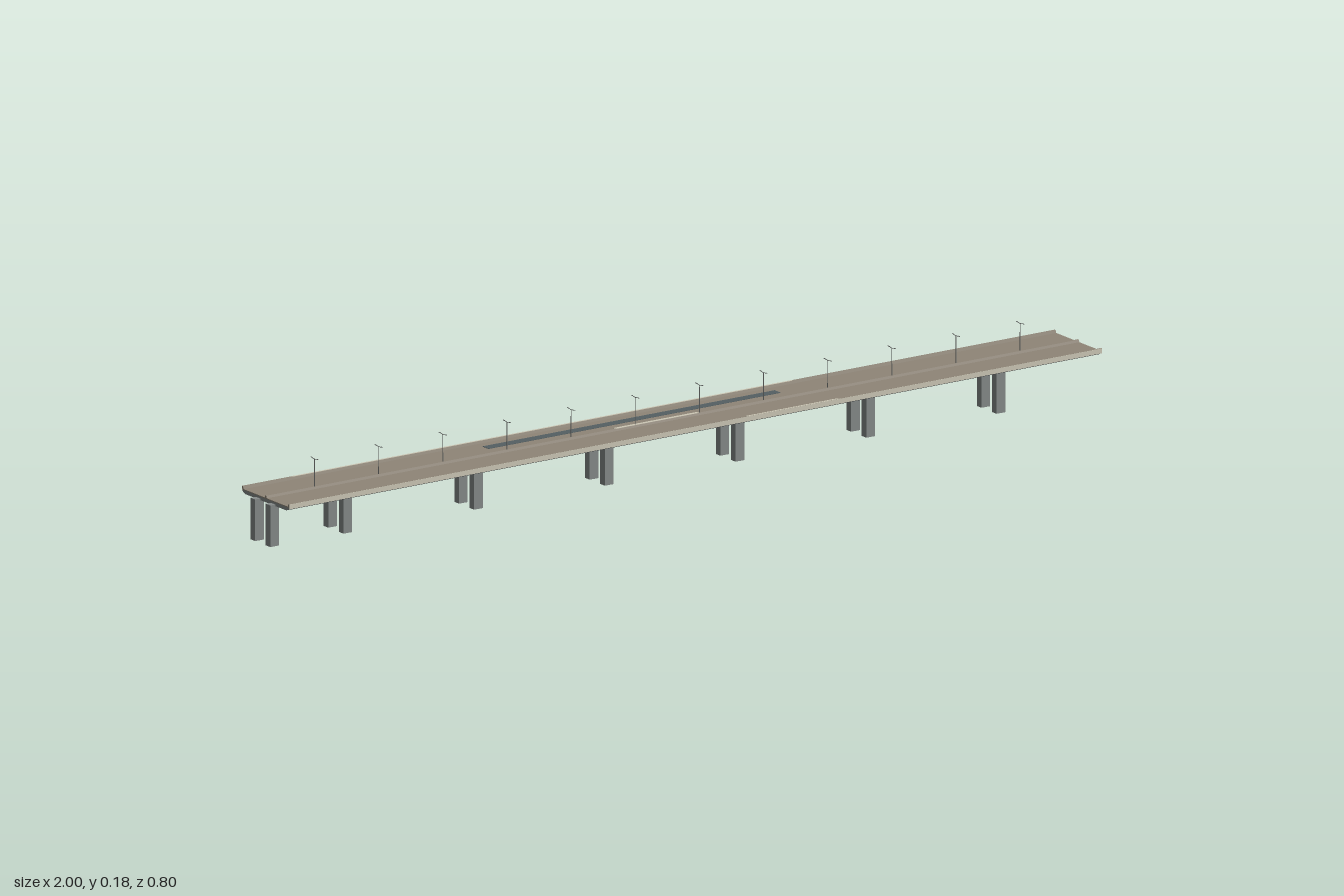
import * as THREE from 'three';

const mat = (name, color) => {
  const m = new THREE.MeshStandardMaterial({ color });
  m.name = name;
  return m;
};

const HALF = 1.023;      // half the deck length
const EDGE = 0.088;      // half the deck width
const SLOPE = 0.0074;    // gentle climb toward +x
const ROAD = 0.1035;     // road height at the middle

export function createModel() {
  const asphalt = mat('brown asphalt', 0x8f8678);
  const cream = mat('cream concrete', 0xcdc8b6);
  const concrete = mat('grey concrete', 0x858a89);
  const slate = mat('slate strip', 0x556063);
  const steel = mat('lamp steel', 0x6a6c6a);

  const bridge = new THREE.Group();
  bridge.name = 'bridge';

  const add = (name, geo, material, parent = bridge) => {
    const mesh = new THREE.Mesh(geo, material);
    mesh.name = name;
    parent.add(mesh);
    return mesh;
  };

  // Extrudes a (z, height above road) section along x and tilts it to the slope
  const prism = (name, section, material, x0 = -HALF, x1 = HALF) => {
    const shape = new THREE.Shape(section.map(([z, y]) => new THREE.Vector2(-z, y)));
    const geo = new THREE.ExtrudeGeometry(shape, { depth: x1 - x0, bevelEnabled: false });
    geo.rotateY(Math.PI / 2).translate(x0, ROAD, 0);
    const p = geo.attributes.position;
    for (let i = 0; i < p.count; i++) p.setY(i, p.getY(i) + p.getX(i) * SLOPE);
    geo.computeVertexNormals();
    return add(name, geo, material);
  };
  const rect = (z0, z1, y0, y1) => [[z0, y0], [z1, y0], [z1, y1], [z0, y1]];

  // Deck: road surface over a slab with sloped lower edges
  prism('roadSurface', rect(-0.086, 0.086, -0.002, 0), asphalt);
  prism('deckSlab', [[-0.076, -0.0095], [0.076, -0.0095], [0.0865, -0.0045],
    [0.0865, -0.002], [-0.0865, -0.002], [-0.0865, -0.0045]], concrete);

  // Parapets with pale outer faces
  for (const s of [-1, 1]) {
    prism('parapet', [[s * 0.0872, 0], [s * 0.082, 0], [s * 0.084, 0.006], [s * 0.0872, 0.006]], asphalt);
    prism('fascia', rect(s * 0.0872, s * EDGE, -0.0045, 0.0058), cream);
  }

  // Central barrier
  prism('medianBarrier', [[-0.004, 0], [0.004, 0], [0.002, 0.005], [-0.002, 0.005]], asphalt);

  // Thin painted strips
  prism('slateStrip', rect(-0.06, -0.038, 0, 0.0008), slate, -0.436, 0.299);
  prism('backPaleStrip', rect(-0.0872, -0.0825, 0.006, 0.0064), cream, -0.9, 0.36);
  prism('frontPaleStrip', rect(0.083, 0.0872, 0.006, 0.0064), cream, 0.13, 0.36);
  prism('medianPaleStrip', rect(-0.004, 0.004, 0.005, 0.0054), cream, -0.145, 0.065);

  // Pairs of columns under the deck
  for (const wx of [-0.975, -0.8, -0.487, -0.174, 0.139, 0.452, 0.764]) {
    const x = wx / Math.cos(Math.PI / 10);
    const h = ROAD - 0.006 + x * SLOPE;
    const pier = new THREE.Group();
    pier.name = 'pier';
    bridge.add(pier);
    for (const s of [-1, 1]) {
      add('column', new THREE.BoxGeometry(0.022, h, 0.017), concrete, pier)
        .position.set(x, h / 2, s * 0.028);
    }
  }

  // Double-armed lamp posts along the median
  for (let i = 0; i < 12; i++) {
    const x = -0.9 + i * 0.1615;
    const lamp = new THREE.Group();
    lamp.name = 'lampPost';
    lamp.position.set(x, ROAD + x * SLOPE, 0);
    bridge.add(lamp);
    add('pole', new THREE.CylinderGeometry(0.0007, 0.001, 0.064, 6), steel, lamp).position.y = 0.032;
    for (const s of [-1, 1]) {
      const arm = add('arm', new THREE.BoxGeometry(0.001, 0.001, 0.012), steel, lamp);
      arm.position.set(0, 0.0645, s * 0.006);
      arm.rotation.x = -s * 0.12;
      add('lampHead', new THREE.BoxGeometry(0.002, 0.001, 0.005), steel, lamp)
        .position.set(0, 0.0653, s * 0.0115);
    }
  }

  // The bridge runs diagonally across the site
  bridge.rotation.y = -Math.PI / 10;
  const model = new THREE.Group();
  model.name = 'roadBridge';
  model.add(bridge);
  return model;
}
